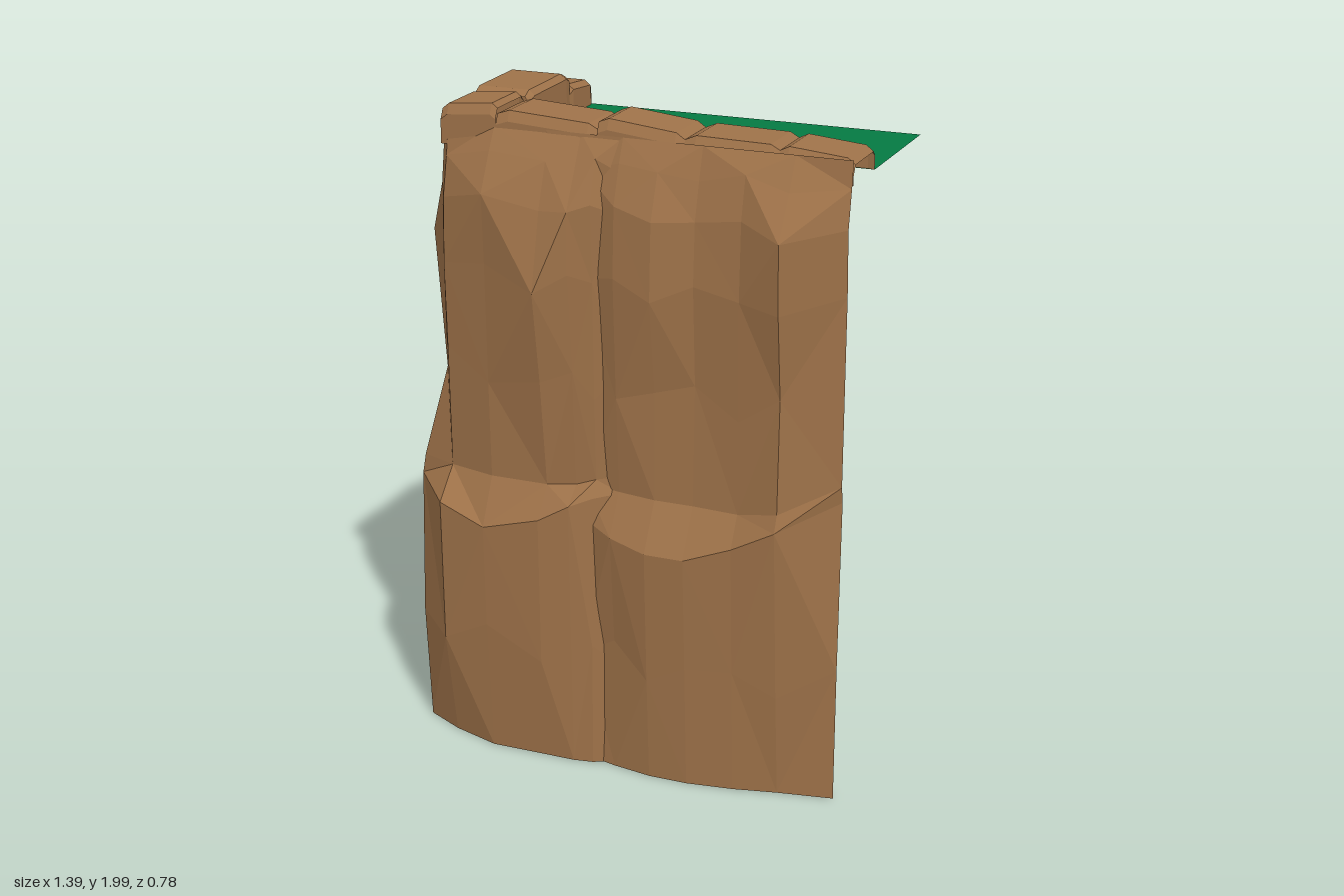
import * as THREE from 'three';

const rock = new THREE.MeshStandardMaterial({ color: 0x9e7249, flatShading: true, side: THREE.DoubleSide });
rock.name = 'brown rock';
const grass = new THREE.MeshStandardMaterial({ color: 0x057a43, side: THREE.DoubleSide });
grass.name = 'green grass';

// Faceted open sheet through rows of points, with alternating diagonals
function sheet(rows) {
  const out = [];
  for (let j = 0; j < rows.length - 1; j++) {
    for (let i = 0; i < rows[j].length - 1; i++) {
      const a = rows[j][i], b = rows[j][i + 1], c = rows[j + 1][i + 1], d = rows[j + 1][i];
      const tris = (i + j) % 2 ? [a, d, c, a, c, b] : [a, d, b, d, c, b];
      tris.forEach(p => out.push(...p));
    }
  }
  const geo = new THREE.BufferGeometry();
  geo.setAttribute('position', new THREE.Float32BufferAttribute(out, 3));
  geo.computeVertexNormals();
  return geo;
}

function add(parent, name, geo, mat) {
  const mesh = new THREE.Mesh(geo, mat);
  mesh.name = name;
  parent.add(mesh);
  return mesh;
}

// Height of each wall level with its unevenness; the ledge lip (level 2) follows its own line
const levelY = [[0.01, 0], [0.38, 0.05], [0, 0], [0.89, 0], [1.22, 0.05], [1.53, 0.03], [1.74, 0.02], [1.86, 0.02], [1.94, 0]];

// Wall from columns [x, z, dirX, dirZ], a ledge line and the bulge of each column per level
function wallGeometry(columns, lip, bulges) {
  return sheet(bulges.map((bulge, j) => columns.map(([x, z, dx, dz], i) => {
    const [y, wobble] = levelY[j];
    const height = j === 2 ? lip[i]
      : j === 3 ? Math.max(lip[i] + 0.05, y)
        : y + wobble * Math.sin(i * 2.4 + y * 5);
    return [x + dx * bulge[i], height, z + dz * bulge[i]];
  })));
}

// Straight wall, running behind the corner wall at its left end
const straightColumns = [0.695, 0.53, 0.40, 0.26, 0.14, 0.02, -0.10, -0.22, -0.36, -0.52].map(x => [x, 0.24, 0, 1]);
const straightLip = [0.95, 0.87, 0.80, 0.75, 0.75, 0.77, 0.80, 0.82, 0.84, 0.86];
const straightBulges = [
  [.02, .05, .08, .10, .10, .08, .05, .02, .01, 0],
  [.02, .08, .10, .12, .12, .08, .04, .02, .01, 0],
  [.01, .12, .12, .14, .14, .11, .05, .02, 0, 0],
  [.02, .10, .07, .06, .06, .04, .01, -.02, -.04, -.07],
  [.02, .09, .07, .05, .06, .06, .02, -.01, -.03, -.05],
  [.02, .12, .08, .07, .10, .08, .03, 0, -.02, -.03],
  [.03, .13, .07, .06, .09, .07, .02, 0, -.01, -.02],
  [.01, .05, .04, .03, .04, .03, .01, 0, -.01, -.02],
  [0, 0, 0, 0, 0, 0, 0, 0, -.01, -.02],
];

// Corner wall, wrapping from the front round to the side
const cornerColumns = [
  ...[0.09, 0.02, -0.05, -0.11, -0.20, -0.38].map(x => [x, 0.235, 0, 1]),
  [-0.53, 0.23, 0, 0.9],
  [-0.545, 0.21, -1, 0.1],
  ...[0.07, -0.04, -0.22, -0.39].map(z => [-0.54, z, -1, 0]),
];
const cornerLip = [0.88, 0.88, 0.87, 0.85, 0.80, 0.75, 0.80, 0.83, 0.76, 0.72, 0.75, 0.78];
const cornerBulges = [
  [.01, .05, .09, .10, .10, .10, .06, .105, .11, .10, .06, .02],
  [.01, .05, .09, .11, .13, .13, .13, .12, .13, .12, .07, .02],
  [.01, .03, .08, .12, .14, .14, .14, .11, .12, .11, .07, .02],
  [.01, .02, .05, .06, .07, .07, .04, .10, .11, .11, .07, .01],
  [.01, .03, .06, .08, .11, .08, .05, .02, .09, .11, .07, .01],
  [.01, .03, .07, .11, .155, .09, .06, .02, .13, .16, .08, .02],
  [.01, .03, .08, .11, .10, .10, .05, .02, .08, .09, .07, .04],
  [.01, .03, .04, .05, .05, .04, .02, .01, .03, .04, .04, .03],
  [0, 0, 0, 0, 0, 0, 0, 0, 0, 0, 0, 0],
];

// Rim stones: axis, start, end, height at start and end
const stones = [
  ['x', -0.55, -0.375, 1.985, 2.0],
  ['x', -0.375, -0.06, 1.985, 1.965],
  ['x', -0.06, 0.20, 1.99, 1.962],
  ['x', 0.20, 0.48, 1.963, 1.958],
  ['x', 0.48, 0.695, 1.96, 1.94],
  ['z', -0.39, -0.23, 1.945, 1.96],
  ['z', -0.23, 0.055, 2.0, 1.997],
];

function stoneGeometry([axis, a, b, ha, hb]) {
  const sections = [[0, 0.015], [0.12, 0], [0.9, 0], [1, 0.015]];
  return sheet(sections.map(([t, drop]) => {
    const s = a + (b - a) * t, h = ha + (hb - ha) * t - drop;
    // Across the stone: 0 is the inner side, 1 the outer side
    const profile = [[drop * 2, 1.87], [drop * 2, h - 0.015], [0.1, h], [0.92, h], [1, h - 0.03], [1, 1.87]];
    return profile.map(([w, y]) => axis === 'x'
      ? [s, y, 0.045 + 0.195 * w]
      : [-0.35 - 0.195 * w, y, s]);
  }));
}

export function createModel() {
  const model = new THREE.Group();
  model.name = 'cliffCorner';

  // Two overlapping cliff faces
  add(model, 'straightWall', wallGeometry(straightColumns, straightLip, straightBulges), rock);
  add(model, 'cornerWall', wallGeometry(cornerColumns, cornerLip, cornerBulges), rock);

  // Row of stones along the upper edge
  const rim = new THREE.Group();
  rim.name = 'rimStones';
  stones.forEach((s, i) => add(rim, 'rimStone' + (i + 1), stoneGeometry(s), rock));
  model.add(rim);

  // Grass surface behind the rim, reaching under the stones near the corner
  const lawn = new THREE.Shape([
    [-0.54, 0.39], [0.695, 0.39], [0.695, -0.05], [0.09, -0.05], [0.09, -0.23], [-0.54, -0.23],
  ].map(([x, y]) => new THREE.Vector2(x, y)));
  const top = add(model, 'grassTop', new THREE.ShapeGeometry(lawn), grass);
  top.rotation.x = -Math.PI / 2;
  top.position.y = 1.87;
  return model;
}
